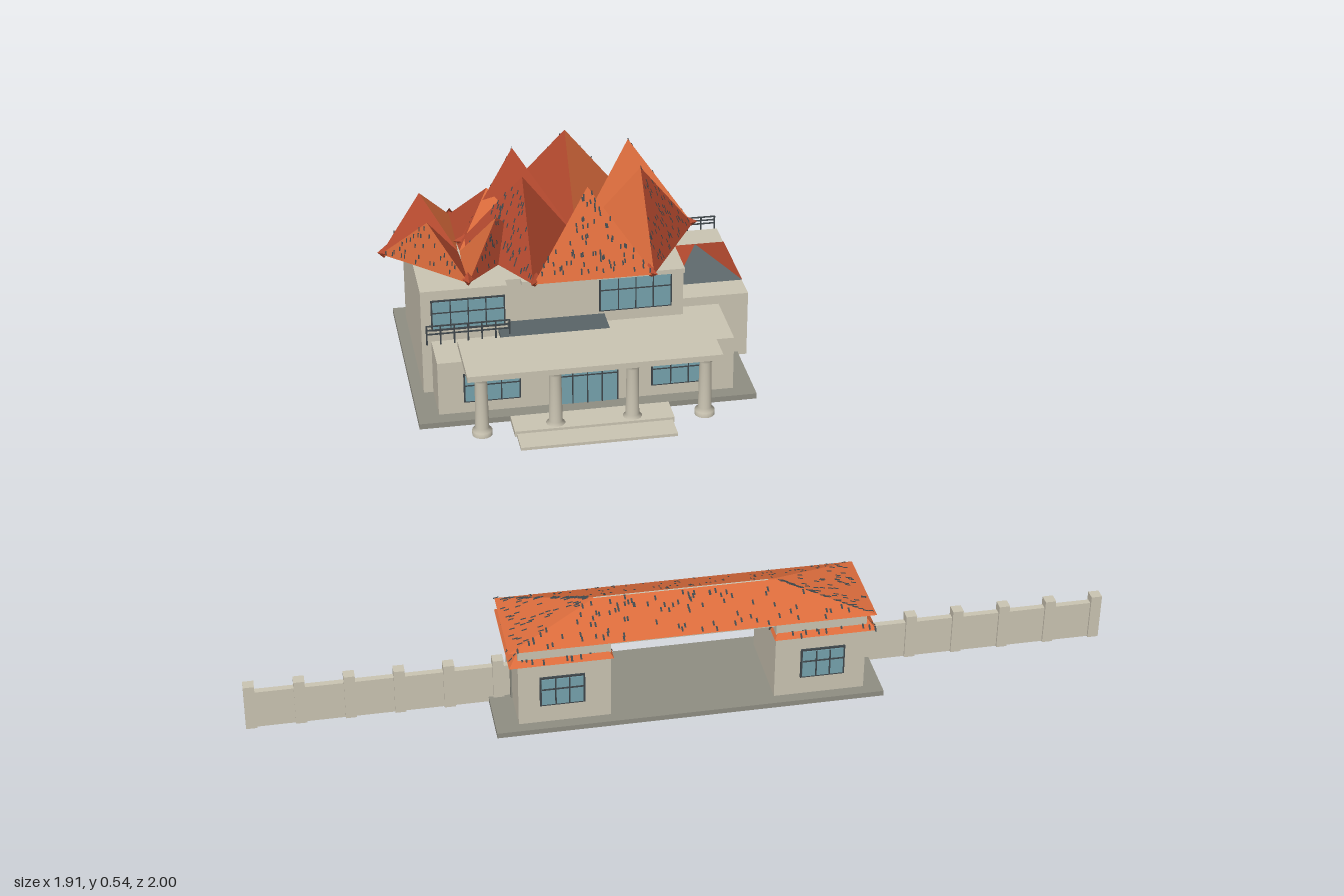
import * as THREE from 'three';

const mat = (name, color, double) => {
  const m = new THREE.MeshStandardMaterial({ color });
  m.name = name;
  if (double) m.side = THREE.DoubleSide;
  return m;
};

export function createModel() {
  const root = new THREE.Group();
  const wall = mat('cream wall', 0xcbc5b3);
  const paving = mat('grey paving', 0x8f8e83);
  const glass = mat('blue glass', 0x76a3ae);
  const dark = mat('dark slate', 0x3f474b, true);
  const slate = mat('grey roof', 0x5a6467, true);
  const orange = mat('orange tile', 0xdb6c3c, true);
  const red = mat('red tile', 0xb54a2f, true);

  let seed = 7;
  const rand = () => (seed = (seed * 16807) % 2147483647) / 2147483647;

  const group = (name, parent = root) => {
    const g = new THREE.Group();
    g.name = name;
    parent.add(g);
    return g;
  };
  // Box given by its two limits on each axis
  const box = (name, m, x0, x1, y0, y1, z0, z1, parent = root) => {
    const b = new THREE.Mesh(new THREE.BoxGeometry(x1 - x0, y1 - y0, z1 - z0), m);
    b.position.set((x0 + x1) / 2, (y0 + y1) / 2, (z0 + z1) / 2);
    b.name = name;
    parent.add(b);
    return b;
  };
  // Flat triangles from a list of corner vectors
  const faces = (name, m, pts, parent = root) => {
    const g = new THREE.BufferGeometry().setFromPoints(pts);
    g.computeVertexNormals();
    const mesh = new THREE.Mesh(g, m);
    mesh.name = name;
    parent.add(mesh);
  };
  const V = (x, y, z) => new THREE.Vector3(x, y, z);
  // Short dark tile marks scattered over the slope a-b-c, c being its upper end
  const tileMarks = (a, b, c, count, out) => {
    const n = b.clone().sub(a).cross(c.clone().sub(a)).normalize();
    if (n.y < 0) n.negate();
    const across = b.clone().sub(a).normalize().multiplyScalar(0.002);
    const up = n.clone().cross(across).normalize().multiplyScalar(0.006);
    for (let i = 0; i < count; i++) {
      const s = Math.sqrt(rand()) * 0.95, t = rand();
      const p = c.clone().multiplyScalar(1 - s).addScaledVector(a, s * (1 - t)).addScaledVector(b, s * t).addScaledVector(n, 0.0015);
      const q = [[-1, -1], [1, -1], [1, 1], [-1, 1]].map(([i1, j]) => p.clone().addScaledVector(across, i1).addScaledVector(up, j));
      out.push(q[0], q[1], q[2], q[0], q[2], q[3]);
    }
  };
  // Hipped roof between two rectangles [x0, x1, z0, z1]; mats run front, right, back, left
  const hip = (name, lo, y0, hi, y1, mats, marks, parent) => {
    const g = group(name, parent);
    const ring = (r, y) => [V(r[0], y, r[3]), V(r[1], y, r[3]), V(r[1], y, r[2]), V(r[0], y, r[2])];
    const A = ring(lo, y0), B = ring(hi, y1), spots = [];
    for (let i = 0; i < 4; i++) {
      const j = (i + 1) % 4;
      const tri = [A[i], A[j], B[j]];
      if (B[i].distanceTo(B[j]) > 1e-6) tri.push(A[i], B[j], B[i]);
      faces('roof slope', mats[i], tri, g);
      tileMarks(A[i], A[j], B[j], marks, spots);
      if (tri.length > 3) tileMarks(B[i], B[j], A[i], marks, spots);
    }
    faces('roof underside', mats[0], [A[0], A[2], A[1], A[0], A[3], A[2]], g);
    if (marks) faces('tile marks', dark, spots, g);
  };
  // Ring of pointed gables around a low centre
  const crown = (name, n, cx, cz, R, peakR, yPeak, yMid, start, marks) => {
    const g = group(name), spots = [], tiles = { o: [], r: [] };
    const at = (k, r, y) => {
      const a = start + (k * 2 * Math.PI) / n;
      return V(cx + r * Math.cos(a), y, cz + r * Math.sin(a));
    };
    const C = V(cx, yMid, cz), tips = [];
    for (let k = 0; k < n; k++) {
      const a = at(k, R, 0.32), b = at(k + 1, R, 0.32), p = at(k + 0.5, peakR, yPeak);
      (k % 2 ? tiles.o : tiles.r).push(b, a, p);
      tiles.r.push(a, C, p);
      tiles.o.push(p, C, b);
      tileMarks(b, a, p, marks, spots);
      // Upturned horn at each eave corner
      const l = at(k - 0.05, R * 0.93, 0.325), r = at(k + 0.05, R * 0.93, 0.325), t = at(k, R * 1.045, 0.325);
      const d = at(k, R * 0.96, 0.308), u = at(k, R * 0.93, 0.345);
      tips.push(l, t, u, t, r, u, l, d, t, d, r, t);
    }
    faces('orange slopes', orange, tiles.o, g);
    faces('red slopes', red, tiles.r, g);
    faces('eave horns', red, tips, g);
    faces('tile marks', dark, spots, g);
  };
  // Front-facing window: frame, glass and glazing bars
  const windowPane = (name, x0, x1, y0, y1, z, cols, parent) => {
    const g = group(name, parent), t = 0.004;
    box('frame', dark, x0 - t, x1 + t, y0 - t, y1 + t, z - 0.004, z + 0.003, g);
    box('glass', glass, x0, x1, y0, y1, z, z + 0.005, g);
    for (let i = 1; i < cols; i++) {
      const x = x0 + ((x1 - x0) * i) / cols;
      box('bar', dark, x - 0.0015, x + 0.0015, y0, y1, z, z + 0.007, g);
    }
    const yb = y0 + (y1 - y0) * 0.62;
    box('bar', dark, x0, x1, yb - 0.0015, yb + 0.0015, z, z + 0.007, g);
  };
  const railing = (name, x0, x1, y0, y1, z, parent) => {
    const g = group(name, parent);
    for (let i = 0; i < 3; i++) {
      const y = y0 + ((y1 - y0) * (i + 1)) / 3;
      box('rail', dark, x0, x1, y - 0.003, y, z - 0.002, z + 0.002, g);
    }
    for (let i = 0; i <= 6; i++) {
      const x = x0 + ((x1 - x0) * i) / 6;
      box('post', dark, x - 0.002, x + 0.002, y0 - 0.02, y1, z - 0.002, z + 0.002, g);
    }
  };

  // Gatehouse: two rooms joined by one long roof
  const gate = group('gatehouse');
  box('gate paving', paving, -0.43, 0.42, 0, 0.012, 0.75, 1, gate);
  for (const s of [-1, 1]) {
    const room = group(s < 0 ? 'right guard room' : 'left guard room', gate);
    const xs = (a, b) => (s > 0 ? [a, b] : [-b, -a]);
    box('room walls', wall, ...xs(0.18, 0.38), 0.012, 0.2, 0.78, 0.975, room);
    windowPane('room window', ...xs(0.24, 0.33), 0.06, 0.125, 0.976, 3, room);
    box('side door', paving, ...xs(0.378, 0.383), 0.012, 0.11, 0.852, 0.88, room);
    hip('lower roof skirt', [...xs(0.175, 0.4), 0.763, 0.987], 0.167, [...xs(0.2, 0.37), 0.8, 0.95], 0.2,
      [orange, orange, orange, orange], 10, room);
  }
  box('gate beam', wall, -0.2, 0.2, 0.185, 0.206, 0.8, 0.96, gate);
  hip('gate roof', [-0.4, 0.4, 0.772, 0.982], 0.203, [-0.2, 0.2, 0.873, 0.877], 0.25, [orange, orange, orange, orange], 45, gate);

  // Boundary wall with posts on each side of the gate
  const fence = group('boundary wall');
  for (const s of [-1, 1]) {
    box('fence panel', wall, s < 0 ? -0.95 : 0.38, s < 0 ? -0.38 : 0.95, 0, 0.09, 0.853, 0.867, fence);
    for (let i = 0; i < 6; i++) {
      const x = s * (0.943 - i * 0.107);
      box('fence post', wall, x - 0.012, x + 0.012, 0, 0.108, 0.848, 0.872, fence);
    }
  }

  // House: ground floor, upper floor and side wing
  const house = group('house');
  box('house paving', paving, -0.445, 0.44, 0, 0.015, -0.945, -0.305, house);
  box('ground floor', wall, -0.39, 0.385, 0.015, 0.165, -0.89, -0.345, house);
  box('rear ground floor', wall, -0.2, 0.3, 0.015, 0.19, -0.925, -0.6, house);
  box('side wing', wall, 0.28, 0.465, 0.005, 0.19, -0.925, -0.535, house);
  box('left upper block', wall, -0.415, -0.19, 0.015, 0.3105, -0.89, -0.465, house);
  box('main upper block', wall, -0.2, 0.28, 0.16, 0.3105, -0.87, -0.495, house);
  box('rear eave slab', wall, -0.2, 0.28, 0.285, 0.3105, -0.925, -0.86, house);
  box('front eave band', wall, -0.15, 0.28, 0.298, 0.3105, -0.5, -0.475, house);
  hip('wing roof', [0.28, 0.466, -0.84, -0.61], 0.191, [0.36, 0.36, -0.725, -0.725], 0.25, [slate, red, red, red], 0, house);
  windowPane('left upper window', -0.385, -0.2, 0.2, 0.28, -0.464, 4, house);
  windowPane('right upper window', 0.06, 0.245, 0.2, 0.295, -0.494, 4, house);
  for (const x of [-0.32, 0.17]) windowPane('ground window', x, x + 0.14, 0.05, 0.125, -0.344, 3, house);
  windowPane('entrance doors', -0.08, 0.075, 0.016, 0.148, -0.344, 4, house);
  railing('balcony railing', -0.405, -0.19, 0.195, 0.23, -0.43, house);
  railing('rear railing', 0.23, 0.46, 0.195, 0.225, -0.935, house);
  box('balcony floor', slate, -0.215, 0.07, 0.178, 0.188, -0.5, -0.39, house);

  // Entrance porch with turned columns and steps
  const porch = group('porch');
  box('porch roof', wall, -0.33, 0.325, 0.182, 0.198, -0.395, -0.205, porch);
  box('porch beam', wall, -0.31, 0.305, 0.165, 0.183, -0.39, -0.35, porch);
  box('upper step', wall, -0.21, 0.205, 0, 0.015, -0.305, -0.225, porch);
  box('lower step', wall, -0.205, 0.2, 0, 0.008, -0.225, -0.155, porch);
  const profile = [[0.026, 0], [0.026, 0.014], [0.018, 0.022], [0.016, 0.155], [0.026, 0.168], [0.028, 0.183]].map(p => new THREE.Vector2(...p));
  const columnGeo = new THREE.LatheGeometry(profile, 16);
  for (const x of [-0.29, -0.1, 0.1, 0.29]) {
    const c = new THREE.Mesh(columnGeo, wall);
    c.position.set(x, 0, -0.255);
    c.name = 'column';
    porch.add(c);
  }

  // Gabled crown roofs
  crown('main crown roof', 6, 0.033, -0.712, 0.316, 0.18, 0.54, 0.3095, 0, 75);
  crown('small crown roof', 4, -0.287, -0.68, 0.205, 0.127, 0.445, 0.307, 0, 30);
  return root;
}
